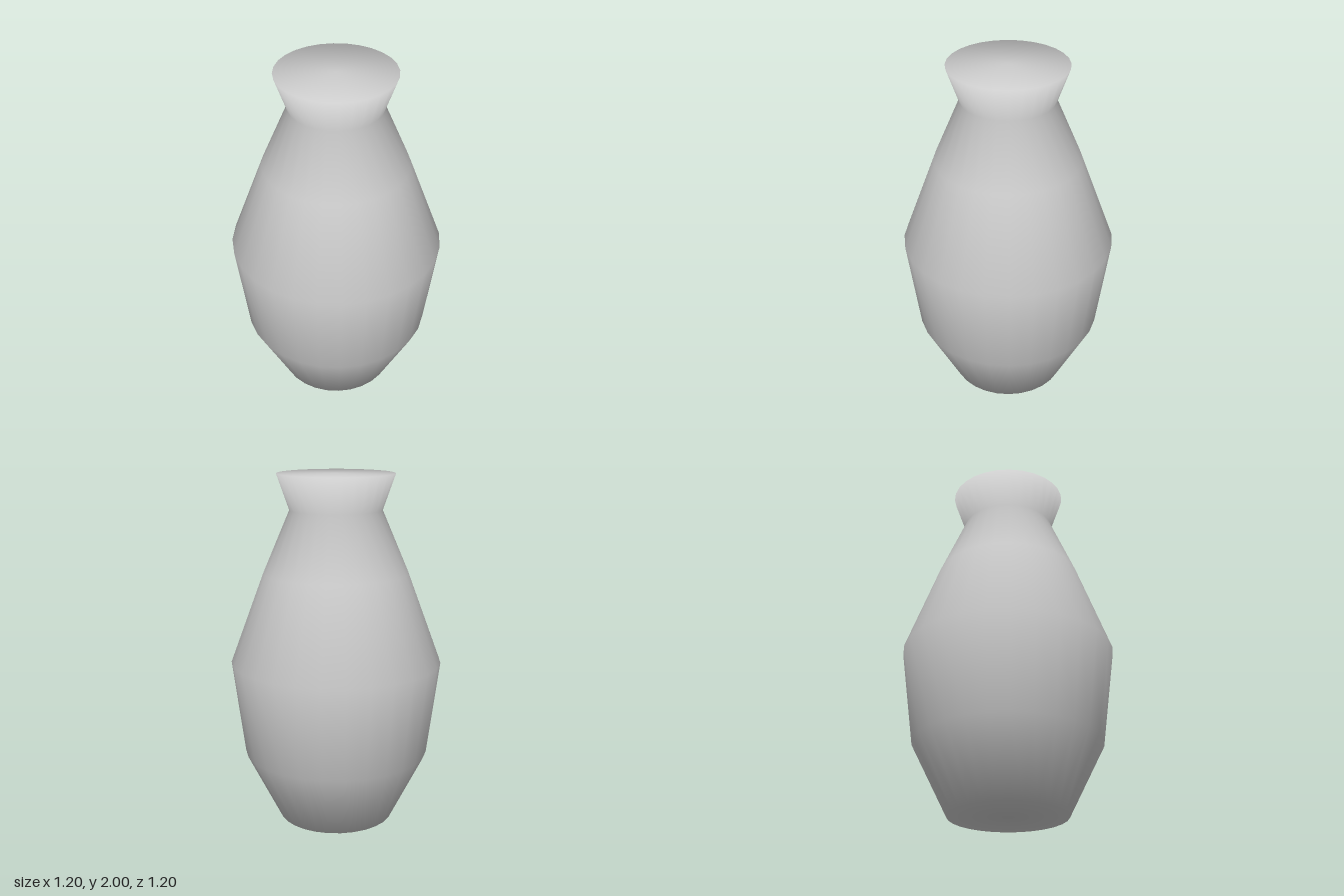
import * as THREE from 'three';

export function createModel() {
  const group = new THREE.Group();
  group.name = 'vase';

  // Profile from the centre of the base, up the wall, to the centre of the closed top
  const profile = [
    [0, 0], [0.33, 0],   // base
    [0.53, 0.4],         // lower belly
    [0.6, 0.94],         // widest point
    [0.41, 1.45],        // shoulder
    [0.26, 1.8],         // neck
    [0.33, 2], [0, 2],   // flared rim and top
  ].map(([r, y]) => new THREE.Vector2(r, y));

  // Smooth-shaded solid of revolution with 28 sides
  const body = new THREE.Mesh(
    new THREE.LatheGeometry(profile, 28),
    new THREE.MeshStandardMaterial({ color: 0xcccccc })
  );
  body.name = 'vaseBody';
  group.add(body);

  return group;
}
